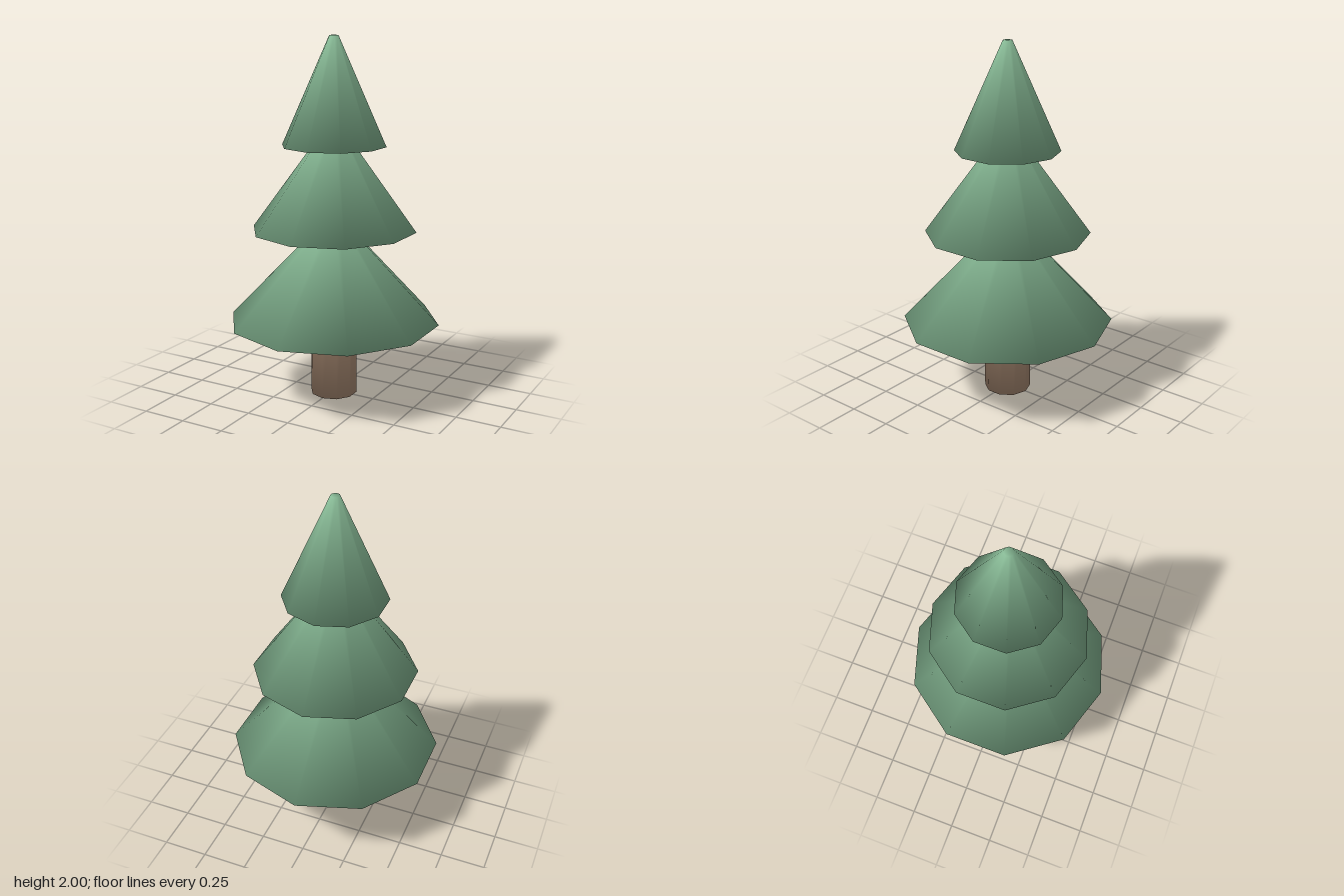
import * as THREE from 'three';

const SIDES = 10;

// Closed ten-sided frustum whose corner normals blend the sides and the end caps
function frustum(rBottom, rTop, yBottom, yTop) {
  const positions = [], normals = [], index = [];
  const h = yTop - yBottom, dr = rBottom - rTop;
  const slope = Math.cos(Math.PI / SIDES);
  const slant = Math.hypot(h, dr * slope);
  const outward = h / slant, upward = (dr * slope) / slant;
  // corner angles of the faces weight the blend
  const foot = Math.atan2(slant, dr * Math.sin(Math.PI / SIDES));
  const capAngle = Math.PI * (1 - 2 / SIDES);

  for (const [r, y, angle, capY] of [[rBottom, yBottom, foot, -1], [rTop, yTop, Math.PI - foot, 1]]) {
    for (let i = 0; i < SIDES; i++) {
      const a = (i / SIDES) * Math.PI * 2;
      const s = Math.sin(a), c = Math.cos(a);
      const out = 2 * angle * outward * slope;
      const n = new THREE.Vector3(s * out, 2 * angle * upward + capAngle * capY, c * out).normalize();
      positions.push(r * s, y, r * c);
      normals.push(n.x, n.y, n.z);
    }
  }
  for (let i = 0; i < SIDES; i++) {
    const j = (i + 1) % SIDES;
    index.push(i, j, SIDES + j, i, SIDES + j, SIDES + i);
    if (i > 0 && i < SIDES - 1) {
      index.push(0, j, i, SIDES, SIDES + i, SIDES + j);
    }
  }
  const geometry = new THREE.BufferGeometry();
  geometry.setAttribute('position', new THREE.Float32BufferAttribute(positions, 3));
  geometry.setAttribute('normal', new THREE.Float32BufferAttribute(normals, 3));
  geometry.setIndex(index);
  return geometry;
}

export function createModel() {
  const tree = new THREE.Group();
  tree.name = 'pineTree';
  const bark = new THREE.MeshStandardMaterial({ color: 0xb3937a });
  const needles = new THREE.MeshStandardMaterial({ color: 0x86b894 });

  const add = (name, geometry, material) => {
    const mesh = new THREE.Mesh(geometry, material);
    mesh.name = name;
    tree.add(mesh);
  };

  // Trunk, its top just reaching through the lowest branches
  add('trunk', frustum(0.131, 0.131, 0, 0.92), bark);

  // Three tiers of branches: bottom radius, top radius, bottom and top height
  add('lowerBranches', frustum(0.59, 0.05, 0.43, 1.003), needles);
  add('middleBranches', frustum(0.457, 0.04, 0.95, 1.52), needles);
  add('upperBranches', frustum(0.288, 0.025, 1.412, 2), needles);

  return tree;
}
